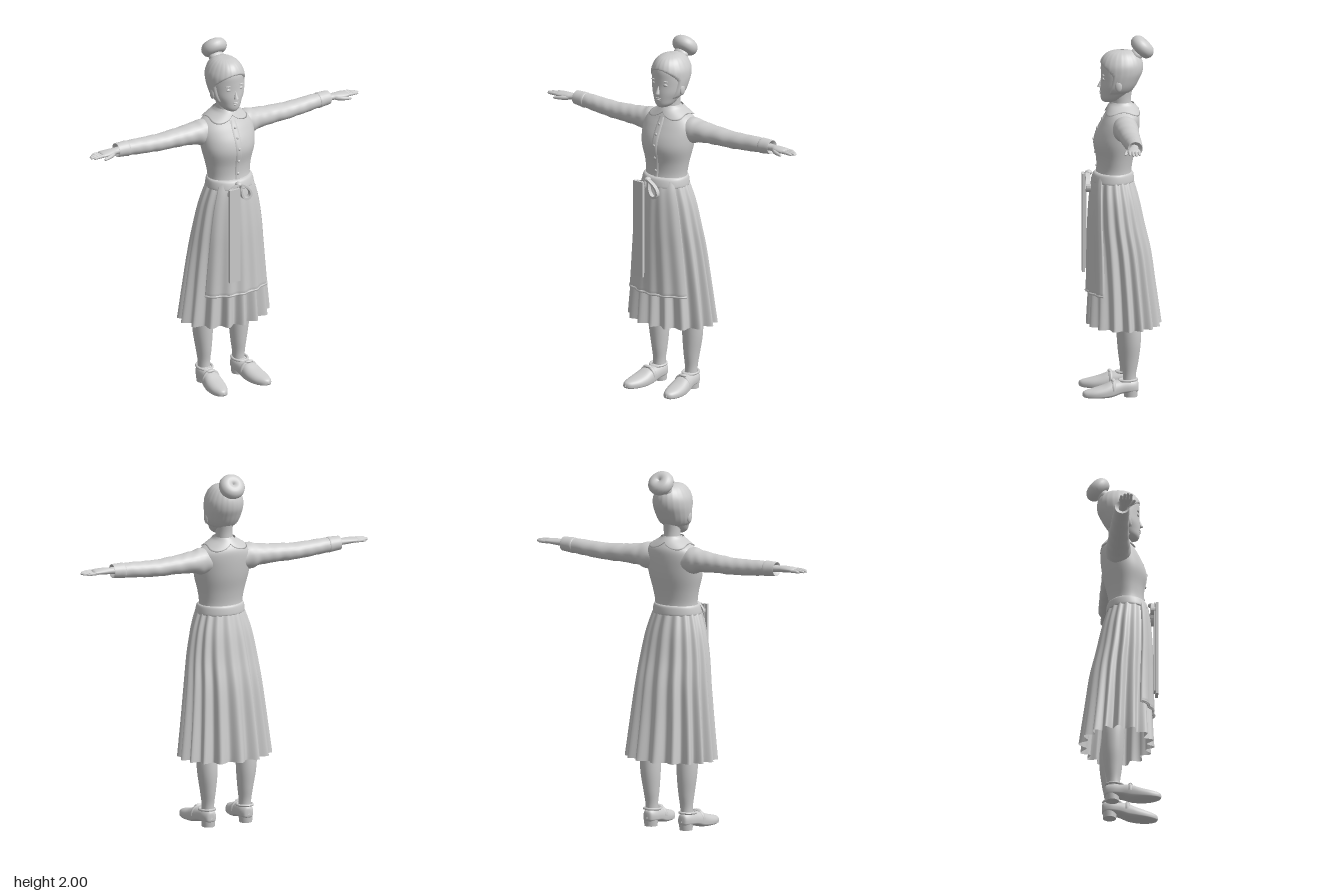
import * as THREE from 'three';

const cloth = new THREE.MeshStandardMaterial({ color: 0xcccccc, side: THREE.DoubleSide });
cloth.name = 'plain grey';

const { sin, cos, abs, PI, sign } = Math;
const ease = THREE.MathUtils.smoothstep;

// Smooth interpolation through rows of numbers, t measured in rows
function sample(rows, t) {
  const n = rows.length - 1, i = Math.min(Math.floor(t), n - 1), f = t - i;
  const p = k => rows[Math.max(0, Math.min(n, k))];
  return rows[0].map((_, c) => {
    const [a, b, d, e] = [p(i - 1)[c], p(i)[c], p(i + 1)[c], p(i + 2)[c]];
    return b + 0.5 * f * (d - a + f * (2 * a - 5 * b + 4 * d - e + f * (3 * (b - d) + e - a)));
  });
}

// Grid surface from f(u, v) -> [x, y, z]; closed wraps it in u
function surface(nu, nv, f, closed = true) {
  const pos = [], idx = [], cols = closed ? nu : nu + 1;
  for (let j = 0; j <= nv; j++) for (let i = 0; i < cols; i++) pos.push(...f(i / nu, j / nv));
  for (let j = 0; j < nv; j++) for (let i = 0; i < nu; i++) {
    const a = j * cols + i, b = j * cols + (i + 1) % cols;
    idx.push(a, b, b + cols, a, b + cols, a + cols);
  }
  const g = new THREE.BufferGeometry();
  g.setAttribute('position', new THREE.Float32BufferAttribute(pos, 3));
  g.setIndex(idx);
  g.computeVertexNormals();
  return g;
}

// Point on an upright body; row = [y, half width, front z, back z, centre x]
function ringPoint([y, rx, zf, zb, cx = 0], a, grow = 0) {
  return [cx + (rx + grow) * sin(a), y, (zf + zb) / 2 + ((zf - zb) / 2 + grow) * cos(a)];
}
const upright = (rows, nu = 40, k = 5) => surface(nu, (rows.length - 1) * k,
  (u, v) => ringPoint(sample(rows, v * (rows.length - 1)), u * 2 * PI));

// Limb along x; row = [x, y, z, half height, half depth]
const limb = (rows, nu = 20, k = 5, ripple = 0) => surface(nu, (rows.length - 1) * k, (u, v) => {
  const [x, y, z, ry, rz] = sample(rows, v * (rows.length - 1)), a = u * 2 * PI;
  const w = 1 + ripple * sin(x * 75 + 2 * sin(a)) * sin(a * 2 + x * 20);
  return [x, y + ry * w * cos(a), z + rz * w * sin(a)];
});

function mirrored(geo) {
  const g = geo.clone().scale(-1, 1, 1), ix = g.index.array;
  for (let i = 0; i < ix.length; i += 3) [ix[i], ix[i + 1]] = [ix[i + 1], ix[i]];
  g.computeVertexNormals();
  return g;
}

const torsoRows = [
  [1.19, .13, .155, -.06], [1.25, .124, .135, -.055], [1.32, .135, .135, -.065], [1.40, .155, .15, -.085],
  [1.46, .163, .14, -.095], [1.52, .165, .112, -.1], [1.56, .145, .09, -.098], [1.59, .1, .075, -.085],
  [1.615, .06, .062, -.068], [1.63, .048, .052, -.056]];
const headRows = [
  [1.63, .004, .085, .07], [1.637, .03, .103, .03], [1.655, .052, .113, 0], [1.685, .069, .116, -.04],
  [1.72, .086, .116, -.068], [1.76, .095, .113, -.09], [1.80, .099, .113, -.108], [1.84, .096, .112, -.112],
  [1.875, .08, .1, -.102], [1.9, .055, .072, -.075], [1.912, .026, .032, -.04], [1.914, .002, -.002, -.006]];
const skirtRows = [
  [1.23, .125, .145, -.055], [1.17, .15, .16, -.075], [1.08, .178, .17, -.1], [.95, .203, .178, -.128],
  [.80, .223, .182, -.163], [.60, .247, .186, -.192], [.39, .272, .197, -.222]];

// Skirt drapes inward in pleats that deepen toward the hem
function skirtPoint(a, t, grow, depth) {
  const n = skirtRows.length - 1, row = sample(skirtRows, t * n);
  const fold = 0.5 - 0.5 * cos(16 * a + 0.8 * sin(3 * a) + 0.4 * sin(5 * t));
  return ringPoint(row, a, grow - depth * fold * (.008 + .036 * t * t));
}

export function createModel() {
  const model = new THREE.Group();
  model.name = 'woman in apron dress';
  const add = (name, geo) => {
    const m = new THREE.Mesh(geo, cloth);
    m.name = name;
    model.add(m);
    return m;
  };
  const pair = (name, geo) => { add('left ' + name, geo); add('right ' + name, mirrored(geo)); };
  const ball = (x, y, z, rx, ry, rz) => new THREE.SphereGeometry(1, 16, 12).scale(rx, ry, rz).translate(x, y, z);

  // Head and neck
  add('neck', upright([[1.57, .055, .06, -.06], [1.62, .046, .046, -.054], [1.67, .046, .044, -.055], [1.74, .05, .04, -.07]], 24));
  add('head', upright(headRows, 48));
  add('hair', surface(64, 66, (u, v) => {
    const row = sample(headRows, v * (headRows.length - 1));
    const a = u < .5 ? u * 2 * PI : (u - 1) * 2 * PI;
    const line = 1.855 - .05 * abs(a) ** 2;
    const face = Math.max((1 - ease(abs(a), 1.0, 1.2)) * (1 - ease(row[0], line - .012, line)), 1 - ease(row[0], 1.665, 1.70));
    const p = ringPoint(row, a, .007 - .02 * face + .0012 * sin(a * 22));
    return [p[0], p[1] + .007 * ease(row[0], 1.86, 1.914), p[2]];
  }));
  add('hair bun', new THREE.TorusGeometry(.033, .04, 20, 36).rotateX(PI / 4).translate(.004, 1.937, -.115));
  add('bun base', ball(0, 1.895, -.083, .045, .035, .035));
  add('nose', new THREE.ConeGeometry(.013, .055, 12).rotateX(-.22).translate(0, 1.742, .115));
  add('nose tip', ball(0, 1.722, .119, .012, .009, .011));
  add('upper lip', ball(0, 1.69, .112, .02, .005, .008));
  add('lower lip', ball(0, 1.681, .112, .016, .005, .008));
  pair('eyelid', ball(.037, 1.768, .101, .016, .009, .008));
  pair('eyebrow', ball(.038, 1.79, .102, .021, .004, .007));
  pair('ear', ball(.094, 1.735, .022, .011, .032, .02));

  // Bodice, collar and buttons
  add('bodice', upright(torsoRows, 48));
  add('collar', surface(96, 12, (u, v) => {
    const a = u * 2 * PI, m = abs(sin(a));
    const depth = 1.1 + .5 * m + 4.2 * m * (1 - m);
    const off = v === 0 ? 0 : .011;
    return ringPoint(sample(torsoRows, 8.6 - (1 - Math.max(0, v - 1 / 12) * 12 / 11) * depth), a, off);
  }));
  const bodiceAt = (t, a, grow) => ringPoint(sample(torsoRows, t), a, grow);
  add('placket', surface(6, 30, (u, v) =>
    bodiceAt(.9 + v * 5.6, (u - .5) * .24, u === 0 || u === 1 ? 0 : .004), false));
  for (let i = 0; i < 5; i++) {
    const [x, y, z] = bodiceAt(1.4 + i, 0, .005);
    add('button', ball(x, y, z, .008, .008, .005));
  }
  add('waistband', upright([[1.19, .132, .158, -.062], [1.195, .14, .167, -.07], [1.235, .133, .154, -.065], [1.245, .12, .133, -.052]]));

  // Skirt and wrapped apron
  add('skirt', surface(192, 40, (u, v) => skirtPoint(u * 2 * PI, 1 - v, 0, 1)));
  add('apron', surface(50, 40, (u, v) => {
    const edge = u === 0 || u === 1 || v === 0;
    const a = (THREE.MathUtils.clamp(u, .02, .98) - .5) * 1.92;
    const t = .855 - .84 * Math.max(0, v - .025) / .975;
    return skirtPoint(a, t, edge ? 0 : .011, .35);
  }, false));
  add('apron hem', new THREE.TubeGeometry(new THREE.CatmullRomCurve3(
    Array.from({ length: 15 }, (_, i) => new THREE.Vector3(...skirtPoint((i / 14 - .5) * 1.84, .85, .009, .35)))), 40, .007, 6));

  // Apron bow with a long tail
  const loop = (w, h, turn, x) => {
    const s = new THREE.Shape().moveTo(0, 0).bezierCurveTo(-w, -h * .5, -w * .9, -h, 0, -h).bezierCurveTo(w * .9, -h, w, -h * .5, 0, 0);
    const q = .62, hole = new THREE.Path().moveTo(0, -h * .15)
      .bezierCurveTo(w * q, -h * .5, w * q, -h * .88, 0, -h * .88).bezierCurveTo(-w * q, -h * .88, -w * q, -h * .5, 0, -h * .15);
    s.holes.push(hole);
    add('bow loop', new THREE.ExtrudeGeometry(s, { depth: .025, bevelEnabled: false, curveSegments: 10 })
      .rotateZ(turn).translate(x, 1.237, .172));
  };
  loop(.035, .09, -.6, -.03);
  loop(.045, .115, .5, -.015);
  add('bow knot', ball(-.023, 1.232, .178, .018, .014, .02));
  add('long ribbon', new THREE.BoxGeometry(.068, .55, .014).translate(-.066, .945, .205));
  add('ribbon fold', new THREE.BoxGeometry(.05, .53, .008).translate(-.064, .955, .192));

  // Sleeves, cuffs and hands
  pair('sleeve', limb([[.08, 1.5, -.008, .065, .065], [.15, 1.504, -.012, .073, .07], [.2, 1.505, -.015, .06, .066],
    [.3, 1.503, -.02, .051, .058], [.42, 1.5, -.024, .046, .053], [.55, 1.507, -.026, .043, .047], [.65, 1.513, -.026, .039, .041]], 28, 10, .03));
  pair('cuff', limb([[.615, 1.511, -.026, .036, .036], [.62, 1.511, -.026, .043, .045], [.65, 1.513, -.026, .041, .043],
    [.682, 1.514, -.026, .039, .041], [.686, 1.514, -.026, .036, .038], [.67, 1.514, -.024, .018, .02]], 24, 4));
  pair('palm', limb([[.65, 1.515, -.022, .021, .025], [.7, 1.516, -.018, .018, .024], [.73, 1.517, -.013, .018, .031],
    [.77, 1.518, -.012, .015, .036], [.795, 1.518, -.012, .011, .035], [.802, 1.518, -.012, .001, .02]], 20));
  [.858, .869, .862, .842].forEach((tip, i) => {
    const z = .014 - i * .0175, y = 1.518 - i * .001;
    pair('finger', limb([[.775, y, z, .009, .009], [.82, y, z, .0088, .009], [tip - .012, y - .002, z, .007, .0078],
      [tip - .003, y - .003, z, .0045, .005], [tip, y - .003, z, .0004, .0004]], 10, 3));
  });
  pair('thumb', limb([[.715, 1.512, .0, .012, .012], [.745, 1.51, .02, .012, .012], [.78, 1.507, .032, .009, .009],
    [.797, 1.505, .036, .006, .006], [.802, 1.505, .037, .0004, .0004]], 12, 4));

  // Legs and shoes
  pair('leg', upright([[.05, .036, .005, -.075, .112], [.12, .034, 0, -.072, .112], [.2, .043, .01, -.086, .113],
    [.3, .055, .018, -.098, .117], [.4, .059, .024, -.097, .119], [.5, .056, .035, -.085, .115], [.65, .066, .055, -.09, .108],
    [.85, .078, .07, -.1, .09]], 28));
  const shoeRows = [ // z, centre x, sole y, top y, half width
    [-.086, .112, .045, .065, .003], [-.08, .112, .03, .09, .026], [-.045, .113, .026, .1, .043], [.01, .117, .02, .096, .047],
    [.06, .124, .004, .09, .053], [.11, .13, 0, .07, .056], [.16, .136, 0, .056, .05], [.2, .141, .003, .046, .034],
    [.218, .143, .008, .038, .019], [.225, .144, .018, .026, .002]];
  pair('shoe', surface(32, 45, (u, v) => {
    const [z, cx, lo, hi, w] = sample(shoeRows, v * 9), a = u * 2 * PI, s = sin(a);
    const h = s < 0 ? -(abs(s) ** .45) : s;
    return [cx + w * sign(cos(a)) * abs(cos(a)) ** .8, Math.max(0, lo + (hi - lo) * (.4 + h * (s < 0 ? .4 : .6))), z];
  }));
  pair('shoe heel', new THREE.CylinderGeometry(.04, .036, .045, 20).translate(.113, .0225, -.043));
  pair('shoe opening', new THREE.TorusGeometry(.042, .007, 8, 28).rotateX(PI / 2 + .08).scale(1, 1, 1.15).translate(.114, .094, -.028));
  pair('shoe strap', new THREE.TorusGeometry(.047, .009, 8, 20, PI).scale(1, 1.05, 1.3).translate(.122, .043, .052));
  pair('shoe bow', ball(.124, .096, .055, .026, .008, .012));

  return model;
}
